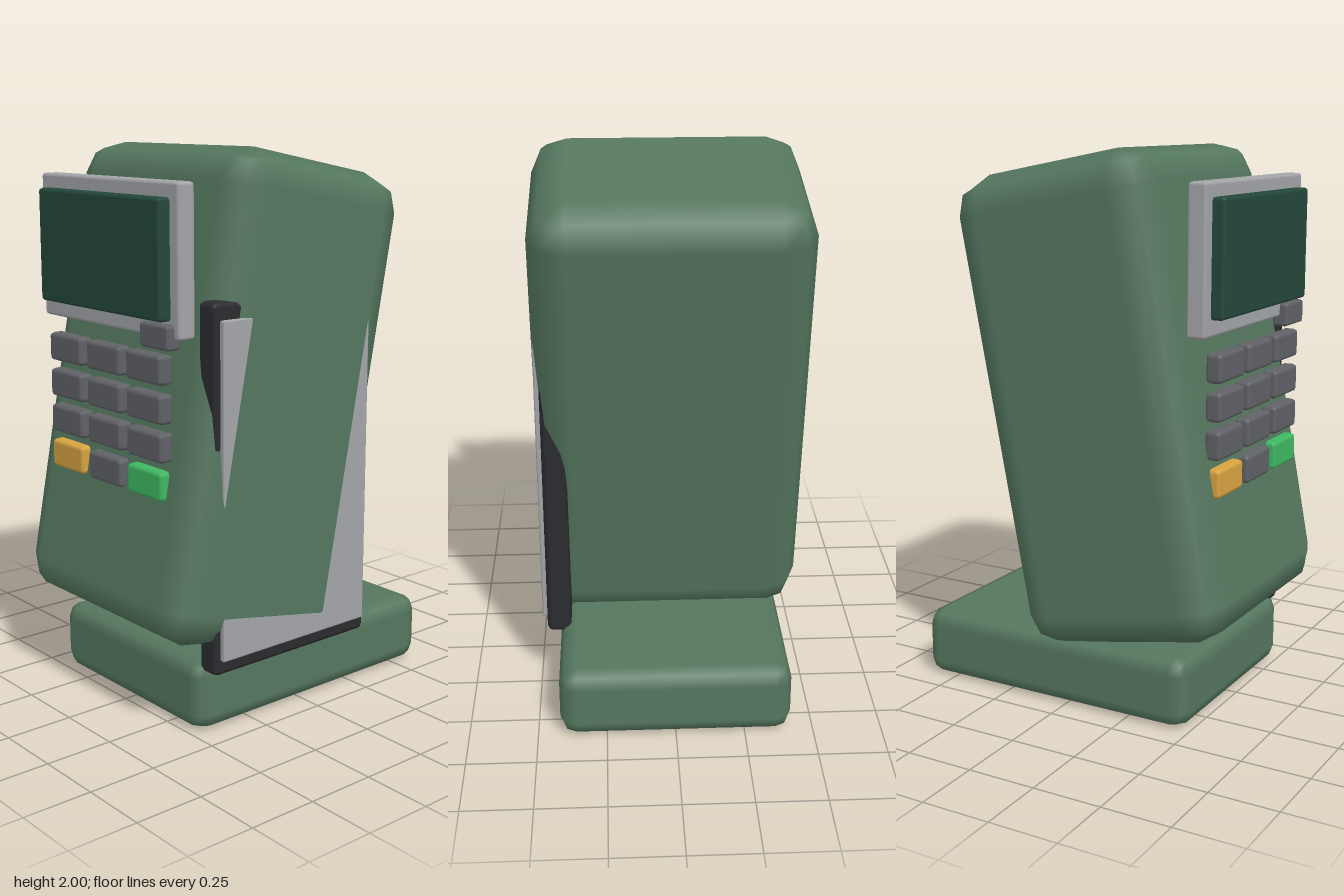
import * as THREE from 'three';
import { RoundedBoxGeometry } from 'three/addons/geometries/RoundedBoxGeometry.js';

const paint = (color) => new THREE.MeshStandardMaterial({ color });

export function createModel() {
  const terminal = new THREE.Group();
  terminal.name = 'cardTerminal';

  const green = paint(0x55775f);
  const darkGreen = paint(0x24483b);
  const silver = paint(0xa3a5a9);
  const black = paint(0x2b2c2f);
  const keyGrey = paint(0x606267);
  const amber = paint(0xd9a441);
  const keyGreen = paint(0x3fb963);

  // box with two-step rounded edges, given by its extents on each axis
  function block(name, [x0, x1], [y0, y1], [z0, z1], radius, material, parent = terminal) {
    const geometry = new RoundedBoxGeometry(x1 - x0, y1 - y0, z1 - z0, 1, radius);
    const mesh = new THREE.Mesh(geometry, material);
    mesh.name = name;
    mesh.position.set((x0 + x1) / 2, (y0 + y1) / 2, (z0 + z1) / 2);
    parent.add(mesh);
    return mesh;
  }

  // foot and the housing leaning back over it
  block('base', [-0.42, 0.42], [0, 0.26], [-0.62, 0.49], 0.06, green);
  const body = block('body', [-0.49, 0.49], [0.262, 1.968], [-0.295, 0.495], 0.13, green);
  body.rotation.x = -0.19;

  // display
  block('screenBezel', [-0.4, 0.395], [1.39, 1.9], [0.475, 0.545], 0.012, silver);
  block('screen', [-0.355, 0.35], [1.45, 1.85], [0.53, 0.59], 0.012, darkGreen);
  block('sideButton', [0.215, 0.37], [1.355, 1.44], [0.515, 0.575], 0.012, keyGrey);

  // keypad: four rows of three, coloured cancel and confirm keys in the last row
  const keypad = new THREE.Group();
  keypad.name = 'keypad';
  terminal.add(keypad);
  for (let row = 0; row < 4; row++) {
    for (let col = 0; col < 3; col++) {
      const x = -0.235 + col * 0.2325;
      const y = 1.284 - row * 0.132;
      const last = row === 3;
      const material = last && col === 0 ? amber : last && col === 2 ? keyGreen : keyGrey;
      const name = last && col === 0 ? 'cancelKey' : last && col === 2 ? 'confirmKey' : 'key';
      block(name, [x - 0.098, x + 0.098], [y - 0.051, y + 0.051], [0.515, 0.575], 0.015, material, keypad);
    }
  }

  // card reader on one side, mostly sunk into the housing
  block('cardReader', [0.38, 0.47], [0.225, 1.515], [-0.257, 0.457], 0.02, black);
  block('cardReaderPlate', [0.44, 0.488], [0.28, 1.457], [-0.235, 0.435], 0.006, silver);

  return terminal;
}
